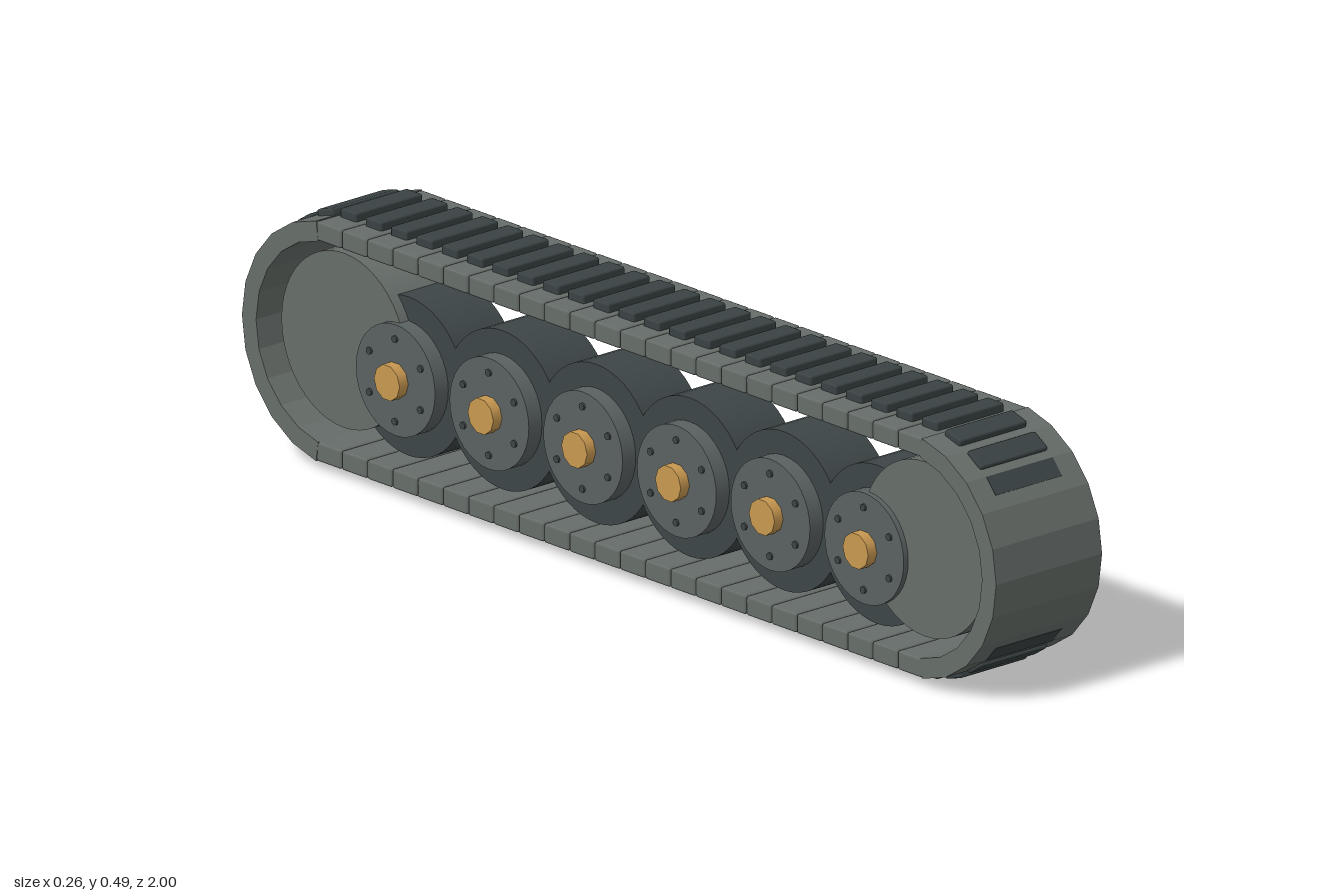
import * as THREE from 'three';
import { RoundedBoxGeometry } from 'three/addons/geometries/RoundedBoxGeometry.js';

const mat = (name, color) => new THREE.MeshStandardMaterial({ name, color });

export function createModel() {
  const model = new THREE.Group();
  model.name = 'trackAssembly';
  const steel = mat('trackSteel', 0x666d69);
  const rubber = mat('padRubber', 0x3a4243);
  const tyre = mat('tyreRubber', 0x3d4546);
  const hub = mat('hubGrey', 0x5a6161);
  const brass = mat('brassCap', 0xc89850);

  const CY = 0.2435;     // height of the loop's centre line
  const R = 0.227;       // distance from centre line to outer link face
  const T = 0.037;       // link thickness
  const W = 0.256;       // track width
  const PITCH = 0.067;
  const FLAT = 24;       // links on each straight run
  const EZ = PITCH * (FLAT - 1) / 2;
  const STEP = Math.PI / 11;

  const add = (parent, name, geo, material, x = 0, y = 0, z = 0) => {
    const mesh = new THREE.Mesh(geo, material);
    mesh.name = name;
    mesh.position.set(x, y, z);
    parent.add(mesh);
    return mesh;
  };

  // Straight runs, top and bottom
  const linkGeo = new RoundedBoxGeometry(W, T, PITCH - 0.001, 1, 0.005);
  const padGeo = new RoundedBoxGeometry(0.162, 0.028, 0.043, 1, 0.004);
  for (const side of [0, Math.PI]) {
    const run = new THREE.Group();
    run.name = side ? 'lowerRun' : 'upperRun';
    run.position.y = CY;
    run.rotation.x = side;
    for (let i = 0; i < FLAT; i++) {
      const z = i * PITCH - EZ;
      add(run, 'trackLink', linkGeo, steel, 0, R - T / 2, z);
      add(run, 'trackPad', padGeo, rubber, 0, R + 0.0165 - 0.014, z);
    }
    model.add(run);
  }

  // Wedge links wrapped around each end
  const ho = R * Math.tan(STEP / 2), hi = (R - T) * Math.tan(STEP / 2);
  const wedge = new THREE.Shape([[-hi, R - T], [hi, R - T], [ho, R], [-ho, R]]
    .map(([x, y]) => new THREE.Vector2(x, y)));
  const wedgeGeo = new THREE.ExtrudeGeometry(wedge, { depth: W, bevelEnabled: false });
  wedgeGeo.translate(0, 0, -W / 2).rotateY(Math.PI / 2);
  const flushGeo = new THREE.BoxGeometry(0.16, 0.008, 0.038);
  // Pads sink into the links as the track curves: [rise, shift]
  const sunk = [[0.012, 0.004], [0.007, 0.006], [0.0008, 0.0134]];
  for (const turn of [0, Math.PI]) {
    const end = new THREE.Group();
    end.name = turn ? 'rearCurve' : 'frontCurve';
    end.position.set(0, CY, turn ? -EZ : EZ);
    end.rotation.y = turn;
    for (let i = 1; i <= 10; i++) {
      const link = new THREE.Group();
      link.name = 'curvedLink';
      link.rotation.x = i * STEP;
      add(link, 'trackLink', wedgeGeo, steel);
      const upper = i <= 5;
      const k = upper ? i - 1 : 10 - i;
      if (k < 3) {
        const [rise, shift] = sunk[k];
        const geo = k === 2 ? flushGeo : padGeo;
        const half = k === 2 ? 0.004 : 0.014;
        add(link, 'trackPad', geo, rubber, 0, R + rise - half, upper ? -shift : shift);
      }
      end.add(link);
    }
    model.add(end);
  }

  // Discs lying along the x axis, spanning x0 to x1
  const disc = (name, r, x0, x1, y, z, material, sides) => {
    const geo = new THREE.CylinderGeometry(r, r, x1 - x0, sides).rotateZ(Math.PI / 2);
    return add(model, name, geo, material, (x0 + x1) / 2, y, z);
  };

  // Large end wheels
  for (const z of [-EZ, EZ]) disc('endWheel', 0.165, -0.091, 0.091, CY + 0.001, z, steel, 48);

  // Six road wheels with bolted hubs and brass caps on the right side
  const WY = 0.21;
  for (let i = 0; i < 6; i++) {
    const z = (i - 2.5) * 0.2485;
    disc('roadWheel', 0.15, -0.07, 0.06, WY, z, tyre, 48);
    disc('hubDisc', 0.105, -0.102, -0.07, WY, z, hub, 36);
    disc('hubCap', 0.034, -0.123, -0.1, WY, z, brass, 10);
    for (let b = 0; b < 6; b++) {
      const a = b * Math.PI / 3 + Math.PI / 6;
      disc('hubBolt', 0.007, -0.106, -0.1, WY + 0.078 * Math.sin(a), z + 0.078 * Math.cos(a), tyre, 8);
    }
  }
  return model;
}
